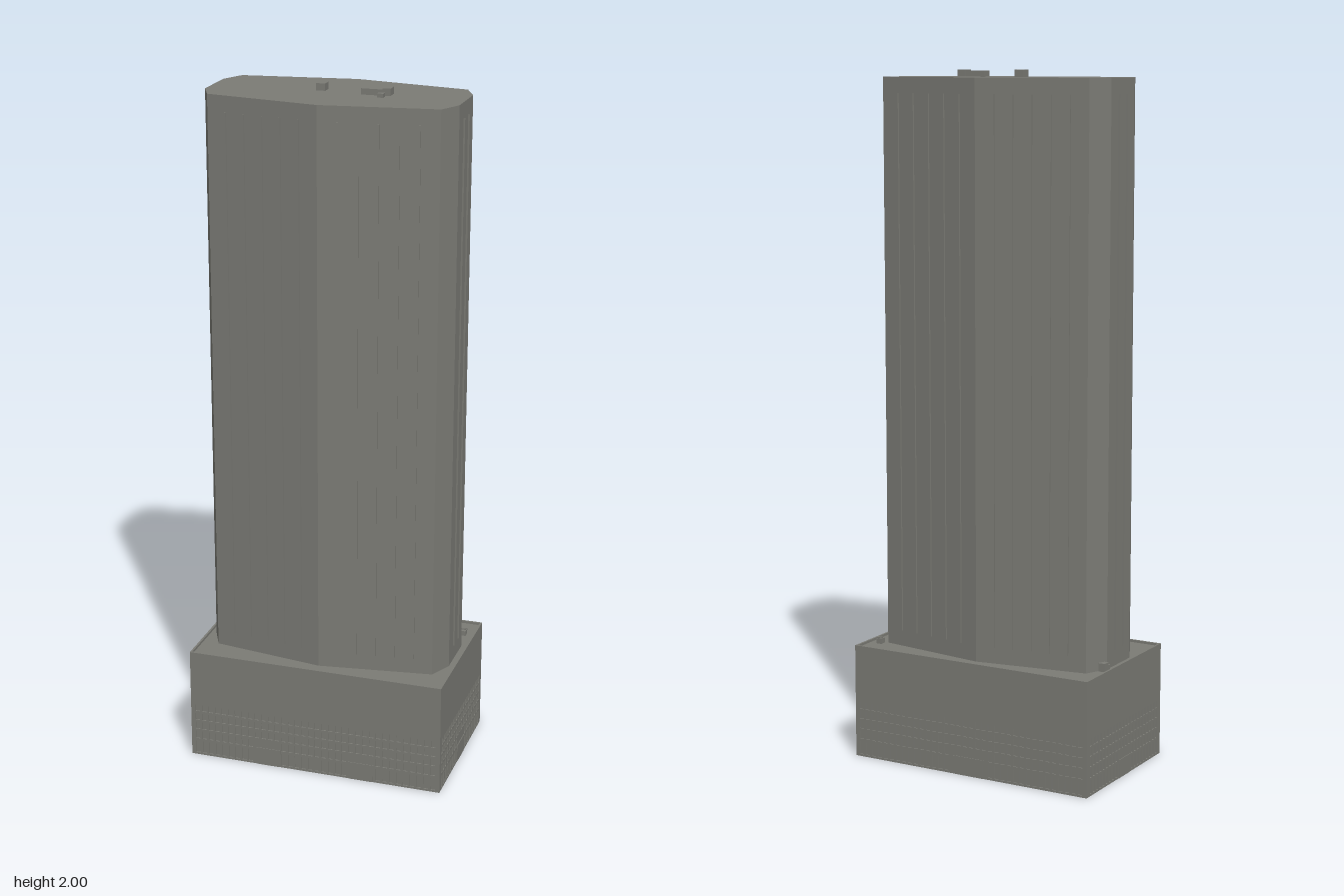
import * as THREE from 'three';
import { mergeGeometries } from 'three/addons/utils/BufferGeometryUtils.js';

export function createModel() {
  const model = new THREE.Group();
  model.name = 'officeTower';
  const concrete = new THREE.MeshStandardMaterial({ color: 0x7b7b75 });
  concrete.name = 'concreteGrey';

  const add = (name, geometry, parent = model) => {
    const mesh = new THREE.Mesh(geometry, concrete);
    mesh.name = name;
    parent.add(mesh);
    return mesh;
  };
  // box given by its limits on each axis
  const box = (x0, x1, y0, y1, z0, z1) =>
    new THREE.BoxGeometry(x1 - x0, y1 - y0, z1 - z0)
      .translate((x0 + x1) / 2, (y0 + y1) / 2, (z0 + z1) / 2);

  const HX = 0.384, HZ = 0.232, TOP = 0.335, ROOF = 0.328, WALL = 0.006;

  // one podium wall in its own frame: outer face at z = 0, facing +z
  function podiumWall(name, half, columns, doors) {
    const wall = new THREE.Group();
    wall.name = name;
    const shape = new THREE.Shape([[-half, 0], [half, 0], [half, TOP], [-half, TOP]]
      .map(([x, y]) => new THREE.Vector2(x, y)));
    const rows = [[0.006, 0.045], [0.053, 0.078], [0.085, 0.108], [0.115, 0.137], [0.144, 0.165]];
    const panes = [];
    const pitch = (2 * half - 0.02) / columns;
    for (let c = 0; c < columns; c++) {
      const x0 = -half + 0.01 + c * pitch + 0.0035, x1 = x0 + pitch - 0.007;
      rows.forEach(([y0, y1], r) => {
        const blocked = r < 2 && doors.some(([a, b]) => x1 > a - 0.003 && x0 < b + 0.003);
        if (blocked) return;
        shape.holes.push(new THREE.Path([[x0, y0], [x0, y1], [x1, y1], [x1, y0]]
          .map(([x, y]) => new THREE.Vector2(x, y))));
        panes.push(box(x0, x1, y0, y1, -WALL - 0.002, -0.004));
      });
    }
    add('wallPanel', new THREE.ExtrudeGeometry(shape, { depth: WALL, bevelEnabled: false })
      .translate(0, 0, -WALL), wall);
    add('windowPanes', mergeGeometries(panes), wall);
    for (const [a, b] of doors) {
      add('doorCanopy', box(a, b, 0.043, 0.055, -0.002, 0.002), wall);
      add('doorLeaf', box(a + 0.004, b - 0.004, 0, 0.043, -0.002, 0.001), wall);
    }
    model.add(wall);
    return wall;
  }

  // podium: hollow, open underneath, with a low parapet
  podiumWall('frontWall', HX, 36, [[-0.182, -0.104], [0.107, 0.185]]).position.z = HZ;
  const back = podiumWall('backWall', HX, 36, [[-0.052, 0.052]]);
  back.rotation.y = Math.PI;
  back.position.z = -HZ;
  for (const s of [1, -1]) {
    const side = podiumWall(s > 0 ? 'leftWall' : 'rightWall', HZ - WALL, 22, [[-0.037, 0.037]]);
    side.rotation.y = s * Math.PI / 2;
    side.position.x = s * HX;
  }
  add('podiumRoof', box(-HX + WALL, HX - WALL, ROOF - 0.006, ROOF, -HZ + WALL, HZ - WALL));

  // tower: ten-sided prism
  const quarter = [[0.362, 0.07], [0.33, 0.137], [0, 0.185]];
  const plan = [
    ...quarter,
    ...quarter.slice(0, 2).reverse().map(([x, z]) => [-x, z]),
    ...quarter.map(([x, z]) => [-x, -z]),
    ...quarter.slice(0, 2).reverse().map(([x, z]) => [x, -z]),
  ].map(([x, z]) => new THREE.Vector2(x, z));
  add('towerShaft', new THREE.ExtrudeGeometry(new THREE.Shape(plan), { depth: 1.98 - ROOF, bevelEnabled: false })
    .rotateX(-Math.PI / 2).translate(0, ROOF, 0));

  // slim vertical fins on the long and short faces
  const F0 = 0.375, F1 = 1.935, slope = Math.atan2(0.048, 0.33);
  const fins = [];
  for (const sx of [1, -1]) {
    for (const sz of [1, -1]) {
      for (let i = 1; i <= 5; i++) {
        const x = 0.055 * i;
        const z = 0.185 - x * 0.048 / 0.33;
        fins.push(new THREE.BoxGeometry(0.005, F1 - F0, 0.009)
          .rotateY(sx * sz * slope)
          .translate(sx * x, (F0 + F1) / 2, sz * z));
      }
      fins.push(new THREE.BoxGeometry(0.009, F1 - F0, 0.005)
        .translate(sx * 0.362, (F0 + F1) / 2, sz * 0.024));
    }
  }
  add('towerFins', mergeGeometries(fins));

  // plant on the tower roof
  add('roofHut', box(-0.064, -0.037, 1.98, 2, -0.03, 0.001));
  add('roofPlantLong', box(0.07, 0.131, 1.98, 1.997, -0.014, 0.016));
  add('roofPlantEnd', box(0.13, 0.153, 1.98, 2, -0.022, 0.013));
  add('roofVent', box(0.124, 0.141, 1.98, 1.991, 0.026, 0.042));

  // plant on the podium roof
  add('podiumVent', box(0.339, 0.356, ROOF, 0.343, -0.161, -0.14));
  add('podiumVentCap', box(0.341, 0.354, 0.343, 0.347, -0.159, -0.15));
  add('podiumHut', box(-0.37, -0.35, ROOF, 0.352, -0.1, -0.078));
  add('podiumHutStep', box(-0.37, -0.358, ROOF, 0.343, -0.08, -0.066));

  return model;
}
